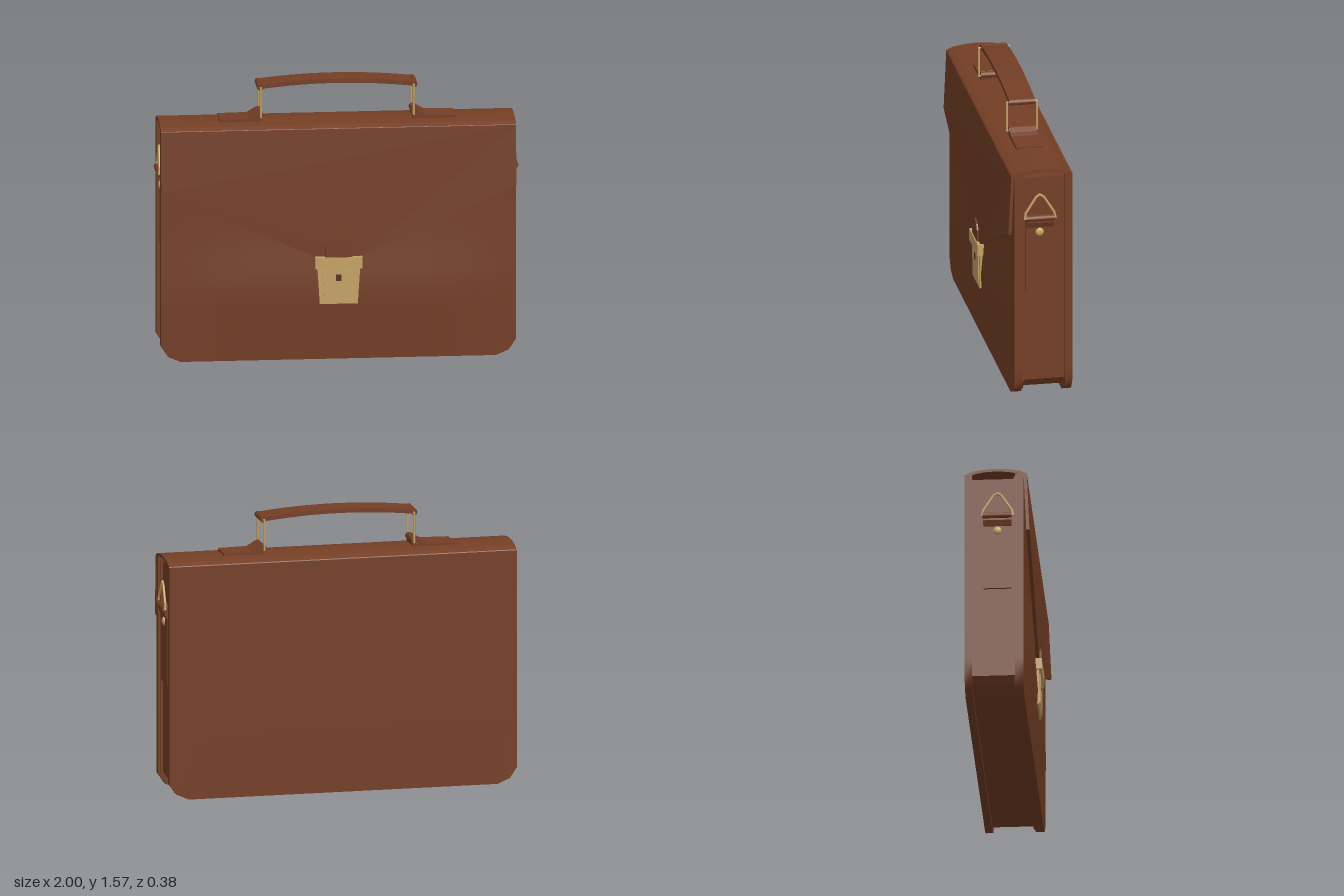
import * as THREE from 'three';

const mat = (name, color) => Object.assign(new THREE.MeshStandardMaterial({ color }), { name });

export function createModel() {
  const leather = mat('leather', 0x743e25);
  const darkLeather = mat('darkLeather', 0x5c301d);
  const brass = mat('brass', 0xc4a265);
  const model = new THREE.Group();
  model.name = 'briefcase';

  const add = (name, geo, material, parent = model) => {
    const m = new THREE.Mesh(geo, material);
    m.name = name;
    parent.add(m);
    return m;
  };
  const box = (name, w, h, d, x, y, z, material, parent) => {
    const m = add(name, new THREE.BoxGeometry(w, h, d), material, parent);
    m.position.set(x, y, z);
    return m;
  };
  const shapeOf = pts => new THREE.Shape(pts.map(p => new THREE.Vector2(p[0], p[1])));
  const extrude = (pts, depth) => new THREE.ExtrudeGeometry(shapeOf(pts), { depth, bevelEnabled: false });
  const mirrored = pts => [...pts, ...pts.map(([x, y]) => [-x, y]).reverse()];
  const rod = (name, a, b, r, parent) => {
    const from = new THREE.Vector3(...a), to = new THREE.Vector3(...b);
    const m = add(name, new THREE.CylinderGeometry(r, r, from.distanceTo(to) + r, 8), brass, parent);
    m.position.copy(from).add(to).multiplyScalar(0.5);
    m.quaternion.setFromUnitVectors(new THREE.Vector3(0, 1, 0), to.sub(from).normalize());
    return m;
  };
  const rollZ = (name, r, len, x, y, z, parent) => {
    const m = add(name, new THREE.CylinderGeometry(r, r, len, 12), leather, parent);
    m.rotation.x = Math.PI / 2;
    m.position.set(x, y, z);
  };

  // Large panels: a gridded slab with clipped lower corners and a soft bulge
  const rows = [0, 0.03, 0.09, 0.2, 0.3, 0.4, 0.5, 0.6, 0.75, 0.95, 1.15, 1.31];
  const halfWidths = [0.87, 0.94];
  const panel = (name, zBack, zFront, bulge, dir) => {
    const n = rows.length - 1;
    const g = new THREE.BoxGeometry(2, n, 2, 12, n, 1);
    const p = g.attributes.position;
    for (let i = 0; i < p.count; i++) {
      const r = Math.round(p.getY(i) + n / 2), y = rows[r], u = p.getX(i);
      const outer = p.getZ(i) * dir > 0;
      const rise = y < 0.4 ? y / 0.4 : Math.max(0, 1 - (y - 0.4) / 0.35);
      const swell = outer ? dir * bulge * rise * (1 - u ** 4) : 0;
      p.setXYZ(i, u * (halfWidths[r] ?? 0.98), y, (p.getZ(i) > 0 ? zFront : zBack) + swell);
    }
    g.computeVertexNormals();
    add(name, g, leather);
  };
  panel('frontPanel', 0.095, 0.142, 0.026, 1);
  panel('backPanel', -0.183, -0.142, 0.006, -1);

  // Gusset body, set in from the panels
  const body = extrude(mirrored([[0.86, 0.03], [0.92, 0.055], [0.955, 0.1], [0.955, 1.29]]), 0.238);
  add('gusset', body, leather).position.z = -0.143;
  const seam = extrude(mirrored([[0.865, 0.012], [0.93, 0.038], [0.968, 0.095], [0.968, 1.3]]), 0.011);
  add('frontSeam', seam, leather).position.z = 0.085;

  // Arched top cover running over from the back panel to the flap
  const arch = [[0.16, 1.3], [0.155, 1.313], [0.125, 1.327], [0.06, 1.338], [0, 1.343],
    [-0.07, 1.34], [-0.135, 1.33], [-0.17, 1.315], [-0.18, 1.29]];
  const inner = arch.map(([z, y]) => [z * 0.92, y - 0.016]).reverse();
  const cover = extrude([...arch, ...inner].map(([z, y]) => [-z, y]), 1.96);
  cover.rotateY(Math.PI / 2).translate(-0.98, 0, 0);
  add('topCover', cover, leather);

  // Front flap with pointed lower edge, leaning slightly outward
  const flap = extrude(mirrored([[0.13, 0.59], [0.98, 0.97], [0.98, 1.31]]), 0.018);
  const fp = flap.attributes.position;
  for (let i = 0; i < fp.count; i++) {
    fp.setZ(i, fp.getZ(i) + 0.142 + 0.015 * Math.min(1, (1.31 - fp.getY(i)) / 0.34));
  }
  flap.computeVertexNormals();
  add('frontFlap', flap, leather);

  // Clasp
  const clasp = new THREE.Group();
  clasp.name = 'clasp';
  model.add(clasp);
  const tab = [[0.075, 0.57], [0.075, 0.65], [0.05, 0.68], [0.02, 0.69]];
  add('claspTab', extrude(mirrored(tab), 0.012), leather, clasp).position.z = 0.172;
  box('claspBar', 0.26, 0.065, 0.035, 0, 0.553, 0.1725, brass, clasp);
  add('claspPlate', extrude(mirrored([[0.105, 0.32], [0.118, 0.522]]), 0.025), brass, clasp).position.z = 0.15;
  add('claspRaisedPlate', extrude(mirrored([[0.082, 0.34], [0.09, 0.51]]), 0.005), brass, clasp).position.z = 0.175;
  box('keyhole', 0.03, 0.036, 0.004, 0, 0.47, 0.181, darkLeather, clasp);

  // Handle: bowed strap with rolled ends
  const arc = (yEnd, yMid) => Array.from({ length: 17 }, (_, i) => {
    const u = i / 8 - 1;
    return [u * 0.425, yMid + (yEnd - yMid) * u * u];
  });
  const strap = extrude([...arc(1.522, 1.548), ...arc(1.546, 1.571).reverse()], 0.145);
  add('handle', strap, leather).position.z = -0.075;

  for (const s of [1, -1]) {
    const side = s > 0 ? 'left' : 'right';
    const mount = new THREE.Group();
    mount.name = side + 'HandleMount';
    model.add(mount);
    rollZ('handleEndRoll', 0.018, 0.146, s * 0.425, 1.532, -0.002, mount);
    rollZ('baseRoll', 0.018, 0.15, s * 0.425, 1.37, -0.004, mount);

    // Base tab rising into its roll
    const base = [[0.65, 1.325], [0.65, 1.352], [0.49, 1.355], [0.465, 1.368], [0.44, 1.385], [0.415, 1.365], [0.415, 1.335]];
    const tabGeo = extrude(base.map(([x, y]) => [s * x, y]), 0.15);
    add('baseTab', tabGeo, leather, mount).position.z = -0.08;

    // Rectangular wire ring
    const x = s * 0.422, z0 = -0.088, z1 = 0.08;
    const ring = [[x, 1.365, z0], [x, 1.53, z0], [x, 1.53, z1], [x, 1.365, z1]];
    ring.forEach((p, i) => rod('handleRing', p, ring[(i + 1) % 4], 0.006, mount));

    // Side strap, loop, stud and triangular ring
    const holder = new THREE.Group();
    holder.name = side + 'StrapHolder';
    model.add(holder);
    box('sideStrap', 0.016, 0.41, 0.155, s * 0.96, 0.83, -0.0025, leather, holder);
    const upper = extrude([[0.955, 1.0], [0.972, 1.0], [0.985, 1.03], [0.985, 1.07], [0.955, 1.07]].map(([a, b]) => [s * a, b]), 0.155);
    add('strapFold', upper, leather, holder).position.z = -0.08;
    rollZ('strapLoop', 0.017, 0.16, s * 0.983, 1.058, -0.004, holder);
    const stud = add('stud', new THREE.SphereGeometry(0.024, 12, 8), brass, holder);
    stud.scale.x = 0.5;
    stud.position.set(s * 0.97, 0.972, -0.002);
    const tri = [[0.983, 1.058, 0.083], [0.981, 1.09, 0.078], [0.978, 1.18, 0.02], [0.978, 1.195, 0],
      [0.978, 1.18, -0.024], [0.981, 1.09, -0.08], [0.983, 1.058, -0.088]].map(([a, b, c]) => [s * a, b, c]);
    tri.forEach((p, i) => rod('strapRing', p, tri[(i + 1) % tri.length], 0.007, holder));
  }
  return model;
}
